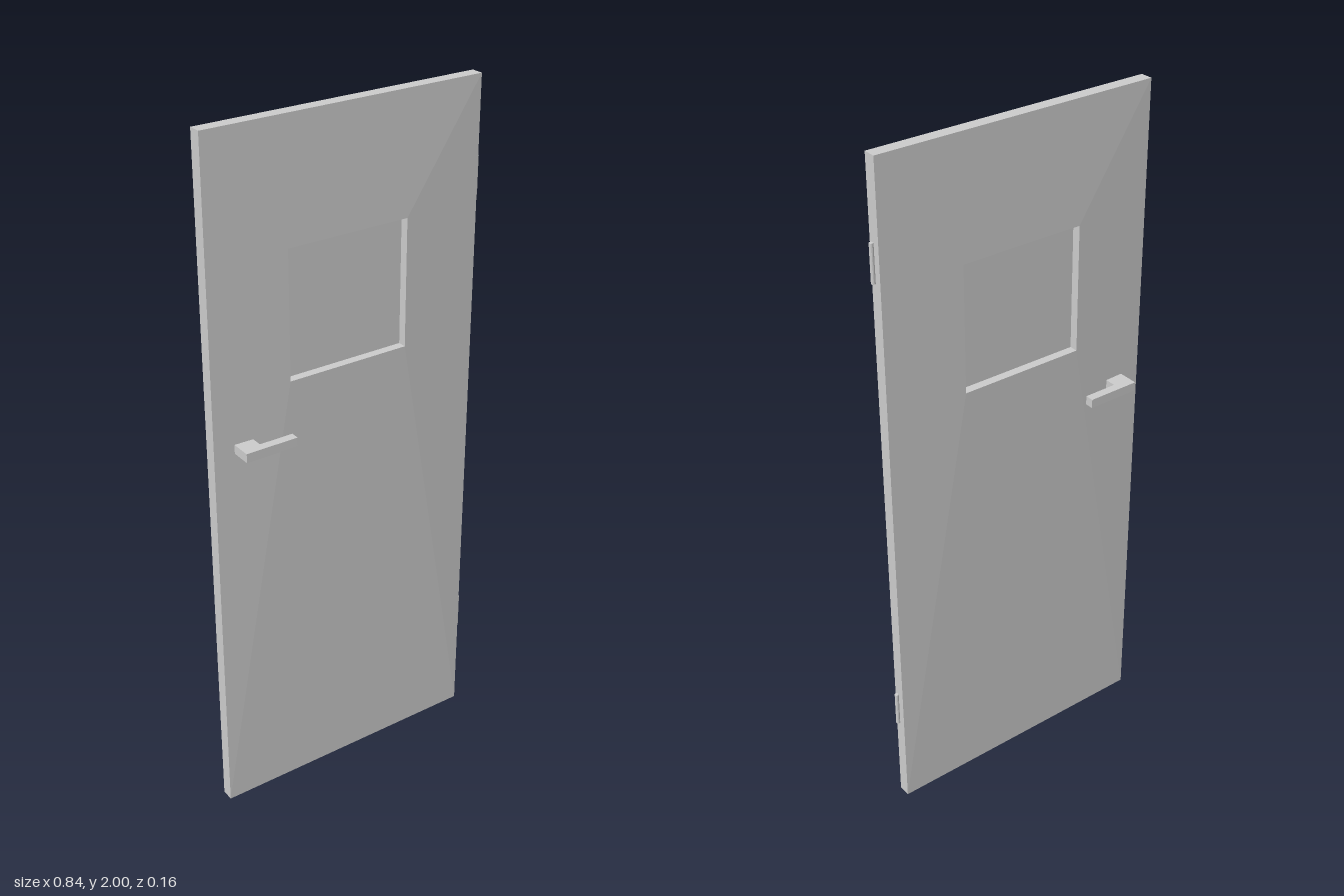
import * as THREE from 'three';

const material = new THREE.MeshStandardMaterial({ color: 0xcccccc, flatShading: true });
const MID = -0.002; // z of the door's middle plane

function add(group, name, geometry, x = 0, y = 0, z = 0) {
  const mesh = new THREE.Mesh(geometry, material);
  mesh.name = name;
  mesh.position.set(x, y, z);
  group.add(mesh);
  return mesh;
}

// Rectangular loop of corners, counter-clockwise from the front
const rectLoop = (x0, x1, y0, y1, z) => [[x0, y0, z], [x1, y0, z], [x1, y1, z], [x0, y1, z]];

// Closed frame: skins four-cornered loops, last joined to first
function loftRing(loops) {
  const positions = [];
  loops.forEach((a, i) => {
    const b = loops[(i + 1) % loops.length];
    for (let k = 0; k < 4; k++) {
      const n = (k + 1) % 4;
      positions.push(...a[k], ...a[n], ...b[n], ...a[k], ...b[n], ...b[k]);
    }
  });
  const geometry = new THREE.BufferGeometry();
  geometry.setAttribute('position', new THREE.Float32BufferAttribute(positions, 3));
  geometry.computeVertexNormals();
  return geometry;
}

export function createModel() {
  const door = new THREE.Group();
  door.name = 'door';

  // Door leaf: thin at the rim, swelling towards the window opening
  const outer = [-0.42, 0.409, 0, 2];
  const opening = [-0.19, 0.175, 1.3, 1.664];
  add(door, 'doorLeaf', loftRing([
    rectLoop(...outer, MID - 0.018),
    rectLoop(...outer, MID + 0.018),
    rectLoop(...opening, MID + 0.027),
    rectLoop(...opening, MID - 0.027),
  ]));

  // Recessed window pane
  const [x0, x1, y0, y1] = opening;
  add(door, 'windowPane', new THREE.BoxGeometry(x1 - x0, y1 - y0, 0.004),
    (x0 + x1) / 2, (y0 + y1) / 2, MID);

  // Lever handle: one U-shaped bar passing through the leaf
  const lever = new THREE.Shape([
    [-0.36, -0.08], [-0.206, -0.08], [-0.206, -0.055], [-0.305, -0.055],
    [-0.305, 0.055], [-0.206, 0.055], [-0.206, 0.08], [-0.36, 0.08],
  ].map(([x, y]) => new THREE.Vector2(x, y)));
  const leverGeometry = new THREE.ExtrudeGeometry(lever, { depth: 0.026, bevelEnabled: false });
  leverGeometry.rotateX(-Math.PI / 2);
  add(door, 'handle', leverGeometry, 0, 1.139, MID);

  // Hinge knuckles on the left edge
  for (const [name, y] of [['lowerHinge', 0.326], ['upperHinge', 1.726]]) {
    add(door, name, new THREE.CylinderGeometry(0.006, 0.006, 0.106, 12), 0.413, y, 0.004);
  }

  return door;
}
